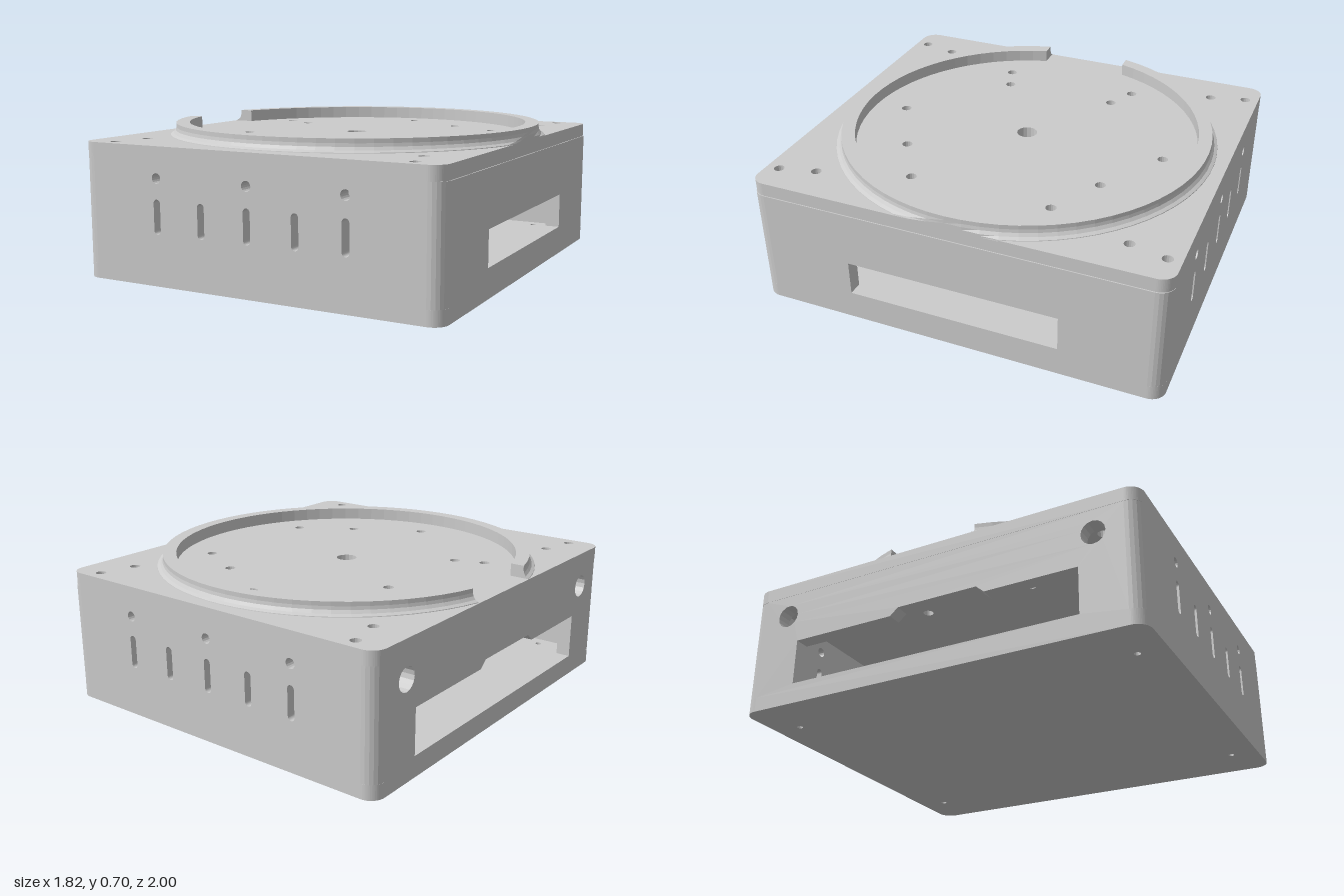
import * as THREE from 'three';

const HX = 0.908, HZ = 1, T = 0.07, FLOOR = 0.07, SEAM = 0.575, TOP = 0.64;
const material = new THREE.MeshStandardMaterial({ color: 0xcccccc, flatShading: true, side: THREE.DoubleSide });

function add(parent, name, geometry) {
  const mesh = new THREE.Mesh(geometry, material);
  mesh.name = name;
  parent.add(mesh);
  return mesh;
}

const polygon = (pts) => new THREE.Shape(pts.map(([x, y]) => new THREE.Vector2(x, y)));
const rect = (x0, y0, x1, y1) => polygon([[x0, y0], [x1, y0], [x1, y1], [x0, y1]]);
const circle = (x, y, r) => new THREE.Path().absarc(x, y, r, 0, Math.PI * 2, true);
const extrude = (shape, depth) =>
  new THREE.ExtrudeGeometry(shape, { depth, bevelEnabled: false, curveSegments: 8 });

// Vertical slot with round ends
function slot(x, y0, y1, r) {
  const p = new THREE.Path();
  p.absarc(x, y1 - r, r, 0, Math.PI, false);
  p.absarc(x, y0 + r, r, Math.PI, Math.PI * 2, false);
  p.closePath();
  return p;
}

// Horizontal plate with rounded corners, lying in x and z
function plate(parent, name, hx, hz, r, top, depth, holes) {
  const s = new THREE.Shape();
  s.absarc(hx - r, hz - r, r, 0, Math.PI / 2);
  s.absarc(-hx + r, hz - r, r, Math.PI / 2, Math.PI);
  s.absarc(-hx + r, -hz + r, r, Math.PI, Math.PI * 1.5);
  s.absarc(hx - r, -hz + r, r, Math.PI * 1.5, Math.PI * 2);
  s.closePath();
  s.holes.push(...holes.map(([x, z, rad]) => circle(x, z, rad)));
  const mesh = add(parent, name, extrude(s, depth));
  mesh.rotation.x = Math.PI / 2;
  mesh.position.y = top;
  return mesh;
}

// The four mirrored copies of one corner hole
const mirrored = (x, z, r) => [[x, z, r], [-x, z, r], [x, -z, r], [-x, -z, r]];

// Raised rim: a swept section with an opening on the -x side
function rimGeometry() {
  const profile = [[0.84, 0.635], [0.935, 0.635], [0.933, 0.643], [0.918, 0.651],
    [0.908, 0.665], [0.905, 0.68], [0.905, 0.70], [0.84, 0.70]];
  const n = 64, cz = -0.005, out = [];
  const point = (i, j) => {
    const [r, y] = profile[j % profile.length];
    const a0 = Math.asin(0.215 / r), a1 = Math.PI * 2 - Math.asin(0.235 / r);
    const a = a0 + (a1 - a0) * i / n;
    return [THREE.MathUtils.clamp(-r * Math.cos(a), -0.909, 0.905), y, r * Math.sin(a) + cz];
  };
  for (let i = 0; i < n; i++) {
    for (let j = 0; j < profile.length; j++) {
      const a = point(i, j), b = point(i + 1, j), c = point(i + 1, j + 1), d = point(i, j + 1);
      out.push(...a, ...b, ...c, ...a, ...c, ...d);
    }
  }
  // End caps at the opening
  const tris = THREE.ShapeUtils.triangulateShape(profile.map(([x, y]) => new THREE.Vector2(x, y)), []);
  for (const [a, b, c] of tris) {
    out.push(...point(0, a), ...point(0, b), ...point(0, c));
    out.push(...point(n, a), ...point(n, c), ...point(n, b));
  }
  const g = new THREE.BufferGeometry();
  g.setAttribute('position', new THREE.Float32BufferAttribute(out, 3));
  g.computeVertexNormals();
  return g;
}

export function createModel() {
  const group = new THREE.Group();
  group.name = 'enclosure';

  // Case: floor, four walls and rounded corner posts
  const body = new THREE.Group();
  body.name = 'caseBody';
  group.add(body);
  plate(body, 'floor', HX, HZ, T, FLOOR, FLOOR, mirrored(0.66, 0.865, 0.015));

  // Front and back walls with vent slots and round holes
  for (const [name, z] of [['frontWall', HZ - T], ['backWall', -HZ]]) {
    const wall = rect(-HX + T, FLOOR, HX - T, SEAM);
    for (let i = -2; i <= 2; i++) {
      wall.holes.push(slot(i * 0.24, 0.24, 0.40, 0.018));
      if (i % 2 === 0) wall.holes.push(circle(i * 0.24, 0.495, 0.024));
    }
    add(body, name, extrude(wall, T)).position.z = z;
  }

  // Side walls, drawn in z and y
  const left = rect(-HZ + T, FLOOR, HZ - T, SEAM);
  left.holes.push(rect(-0.52, 0.14, 0.51, 0.31));
  const right = rect(-HZ + T, FLOOR, HZ - T, SEAM);
  right.holes.push(
    polygon([[-0.72, 0.10], [0.72, 0.10], [0.72, 0.32], [0.28, 0.32], [0.24, 0.355],
      [-0.16, 0.355], [-0.2, 0.32], [-0.72, 0.32]]),
    circle(-0.79, 0.465, 0.056), circle(0.79, 0.465, 0.056));
  for (const [name, shape, x] of [['leftWall', left, HX], ['rightWall', right, -HX + T]]) {
    const mesh = add(body, name, extrude(shape, T));
    mesh.rotation.y = -Math.PI / 2;
    mesh.position.x = x;
  }

  // Corner posts
  for (const sx of [-1, 1]) {
    for (const sz of [-1, 1]) {
      const post = add(body, 'cornerPost', new THREE.CylinderGeometry(T, T, SEAM - FLOOR, 24));
      post.position.set(sx * (HX - T), (SEAM + FLOOR) / 2, sz * (HZ - T));
    }
  }

  // Lid with centre bore, mounting holes and corner screw holes
  const mounts = [[0, -0.70], [0.33, -0.50], [0.59, -0.36], [-0.60, -0.36], [-0.46, -0.29],
    [-0.46, 0.28], [-0.60, 0.33], [0.59, 0.33], [0.33, 0.49], [0, 0.67]];
  const lid = plate(group, 'lid', 0.906, HZ, T, TOP, TOP - SEAM, [
    [0, -0.005, 0.05],
    ...mounts.map(([x, z]) => [x, z, 0.025]),
    ...mirrored(0.76, 0.935, 0.025),
    ...mirrored(0.718, 0.76, 0.025),
  ]);
  lid.position.x = -0.003;

  // Circular rim on the lid
  add(group, 'rim', rimGeometry());
  return group;
}
